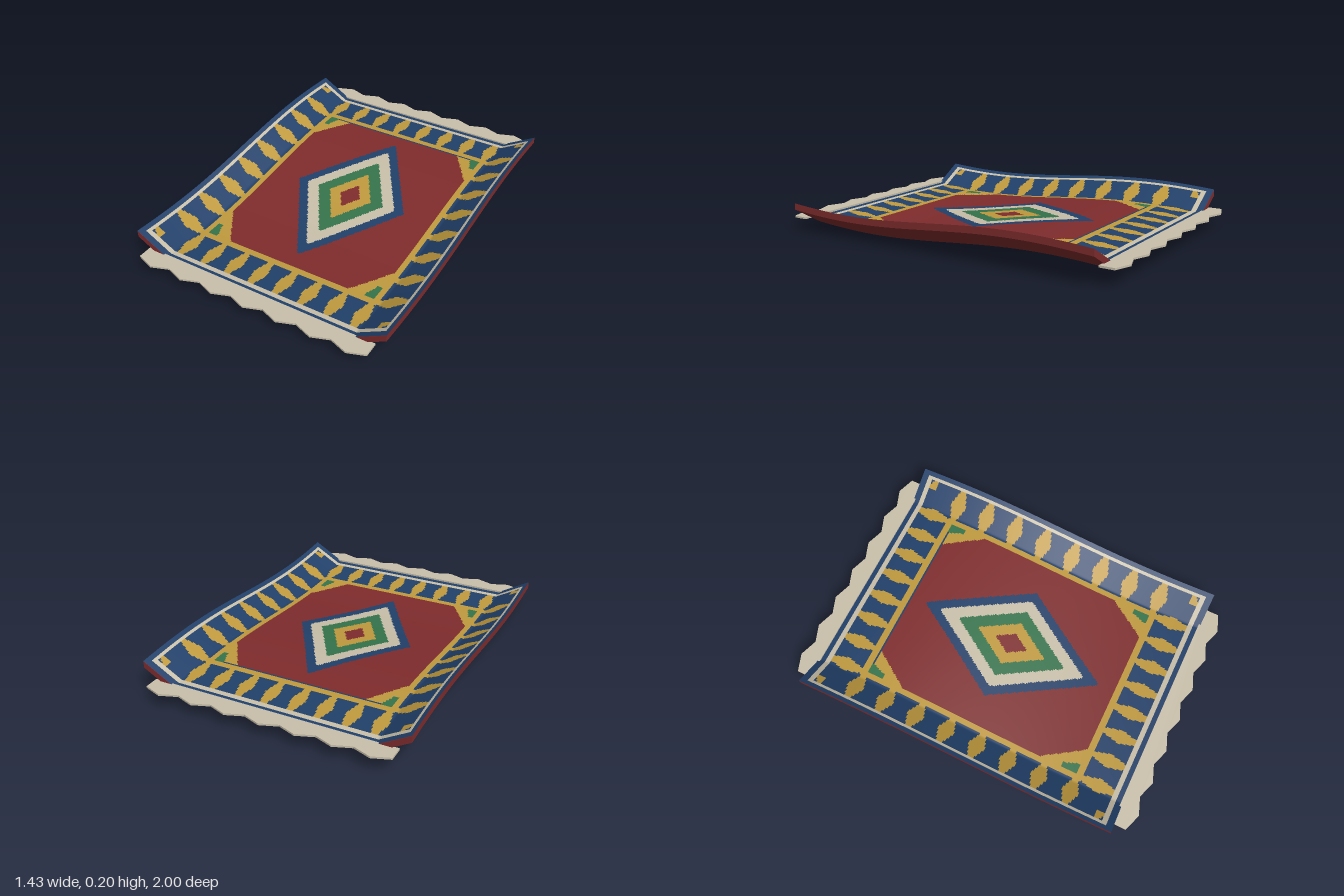
import * as THREE from 'three';
import { toCreasedNormals } from 'three/addons/utils/BufferGeometryUtils.js';

const W = 0.715, D = 0.9, THICK = 0.037;   // half width, half length, thickness
const COLS = 190, ROWS = 200;              // weave resolution
const FLAT = W * 72 / 95;                  // where the sides start to curl up

const PALETTE = { red: 0x802c2d, navy: 0x21406a, gold: 0xc09a3e, green: 0x35744c, cream: 0xc9c0aa };
const NAMES = Object.keys(PALETTE);

// Height of the underside: a long wave with upturned sides
function lift(x, z) {
  const wave = 0.032 * (1 - Math.sin(2.95 * z));
  const curl = Math.max(0, Math.abs(x) - FLAT) / (W - FLAT) * 0.1;
  return wave + curl;
}

function drape(geometry) {
  const p = geometry.attributes.position;
  for (let i = 0; i < p.count; i++) p.setY(i, p.getY(i) + lift(p.getX(i), p.getZ(i)));
  geometry.computeVertexNormals();
  return geometry;
}

// Distance to the nearest motif centre, centres lying at odd half steps
const toCentre = (v, step) => Math.abs((v % step) - step / 2);

// Woven pattern: colour name at a point of the rug
function weave(px, pz) {
  const x = Math.abs(px), z = Math.abs(pz);
  // Outer edge and thin cream frame
  if (x > 0.692 || z > 0.866) return 'navy';
  if (x > 0.675 || z > 0.84) return 'cream';
  // Navy border with spindle motifs
  if (x > 0.53 || z > 0.66) {
    if (x > 0.635 && z > 0.795 && x + z < 1.49) return 'gold';
    if (z > 0.66 && x < 0.56) {
      const half = 0.016 + 0.022 * (1 - Math.abs(z - 0.75) / 0.09);
      if (toCentre(x, 0.1445) < half) return 'gold';
    }
    if (x > 0.53 && z < 0.7) {
      const half = 0.018 + 0.027 * (1 - Math.abs(x - 0.602) / 0.072);
      if (toCentre(z, 0.18) < half) return 'gold';
    }
    return 'navy';
  }
  // Gold inner frame
  if (x > 0.5 || z > 0.625) return 'gold';
  // Corner pieces of the field
  if (x > 0.44 + (0.62 - z) * 0.35 && z > 0.53 && x < 0.497) return 'green';
  if (pz < -0.616) return 'navy';
  if ((x - 0.355) / 0.145 + (z - 0.4) / 0.22 > 1) return 'gold';
  // Nested diamond medallion
  const s = x / 0.625 + z;
  if (s < 0.095) return 'red';
  if (s < 0.205) return 'gold';
  if (s < 0.325) return 'green';
  if (s < 0.44) return 'cream';
  if (s < 0.53) return 'navy';
  return 'red';
}

// Top face: a fine grid whose cells are sorted into one group per colour
function patternGeometry() {
  const geometry = new THREE.PlaneGeometry(2 * W, 2 * D, COLS, ROWS);
  geometry.rotateX(-Math.PI / 2).translate(0, THICK, 0);
  drape(geometry);
  const cells = geometry.index.array;
  const buckets = NAMES.map(() => []);
  for (let row = 0; row < ROWS; row++) {
    for (let col = 0; col < COLS; col++) {
      const x = ((col + 0.5) / COLS * 2 - 1) * W;
      const z = ((row + 0.5) / ROWS * 2 - 1) * D;
      const bucket = buckets[NAMES.indexOf(weave(x, z))];
      const start = (row * COLS + col) * 6;
      for (let k = 0; k < 6; k++) bucket.push(cells[start + k]);
    }
  }
  geometry.setIndex(buckets.flat());
  let start = 0;
  buckets.forEach((bucket, i) => {
    geometry.addGroup(start, bucket.length, i);
    start += bucket.length;
  });
  return geometry;
}

// Red backing slab just under the pattern
function backingGeometry() {
  const h = THICK - 0.002;
  const geometry = new THREE.BoxGeometry(2 * W, h, 2 * D, 4, 1, 60).translate(0, h / 2, 0);
  const p = geometry.attributes.position;
  for (let i = 0; i < p.count; i++) {
    const x = p.getX(i);
    if (Math.abs(Math.abs(x) - W / 2) < 0.01) p.setX(i, Math.sign(x) * FLAT);
  }
  return toCreasedNormals(drape(geometry), 0.4);
}

// Flat fringe with a zigzag outer edge, centred on y = 0
function fringeGeometry() {
  const half = 0.655, teeth = 7, step = 2 * half / teeth;
  const shape = new THREE.Shape();
  shape.moveTo(half, 0.89);
  shape.lineTo(half, 0.967);
  for (let i = 0; i < teeth; i++) {
    shape.lineTo(half - (i + 0.5) * step, 1);
    shape.lineTo(half - (i + 1) * step, 0.967);
  }
  shape.lineTo(-half, 0.89);
  const geometry = new THREE.ExtrudeGeometry(shape, { depth: 0.01, bevelEnabled: false });
  return geometry.rotateX(Math.PI / 2).translate(0, 0.005, 0);
}

export function createModel() {
  const model = new THREE.Group();
  model.name = 'rug';
  const materials = NAMES.map((name) => {
    const material = new THREE.MeshStandardMaterial({ color: PALETTE[name] });
    material.name = name;
    return material;
  });
  const add = (name, geometry, material) => {
    const mesh = new THREE.Mesh(geometry, material);
    mesh.name = name;
    model.add(mesh);
    return mesh;
  };

  add('backing', backingGeometry(), materials[NAMES.indexOf('red')]);
  add('wovenPattern', patternGeometry(), materials);

  // Fringes at both ends, level with the top face
  const fringe = fringeGeometry();
  for (const [name, side] of [['frontFringe', 1], ['backFringe', -1]]) {
    const mesh = add(name, fringe, materials[NAMES.indexOf('cream')]);
    mesh.rotation.y = side > 0 ? 0 : Math.PI;
    mesh.position.y = lift(0, side * D) + THICK + 0.004;
  }
  return model;
}
